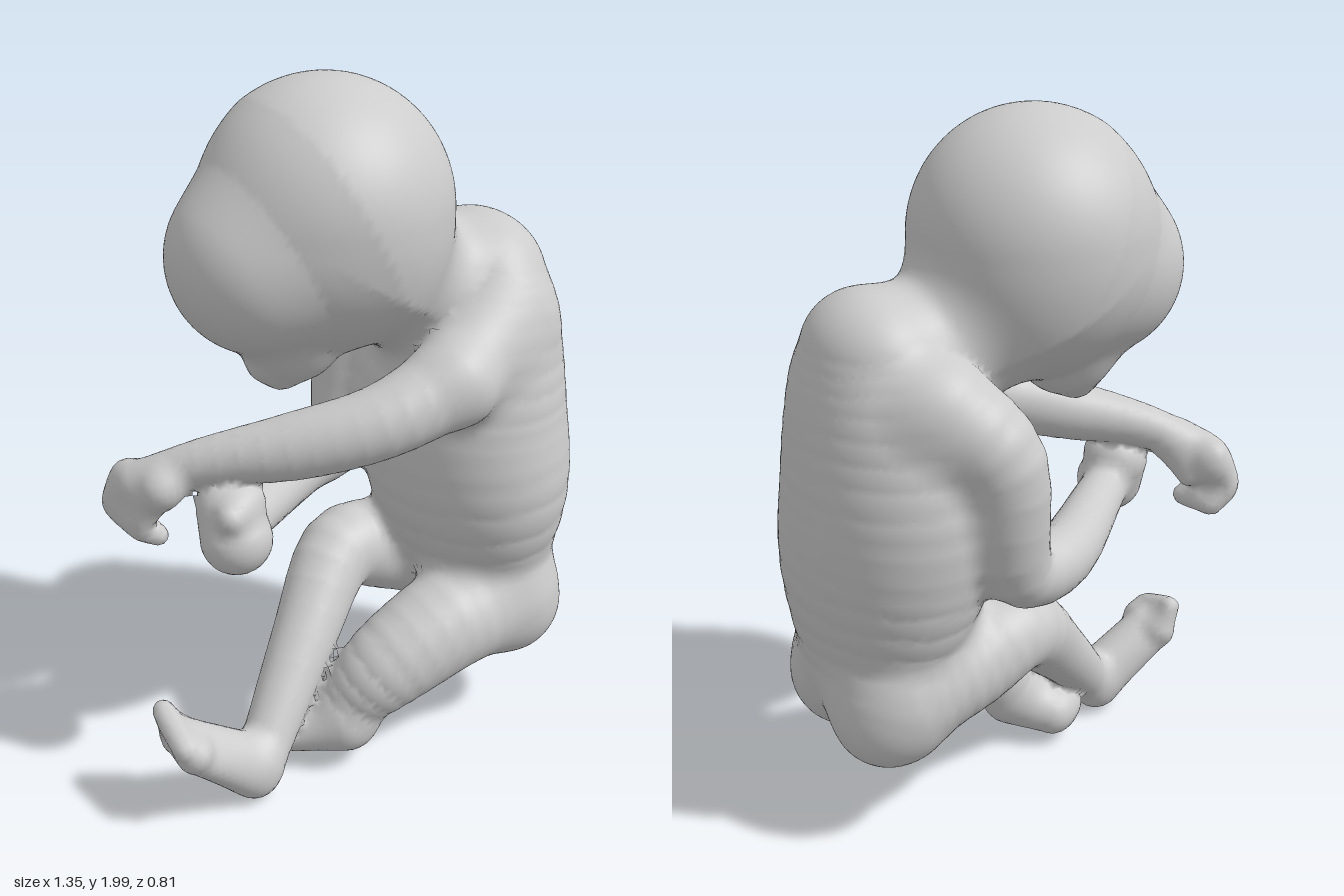
import * as THREE from 'three';

const smooth = points => new THREE.CatmullRomCurve3(points, false, 'catmullrom', 0.5);

// A limb is a ball swept along a smooth path while its radius follows the radii; stretch widens it in z.
function limb(radii, ...path) {
  const curve = smooth(path.map(p => new THREE.Vector3(...p)));
  const size = smooth(radii.map(r => new THREE.Vector3(r, 0, 0)));
  const count = path.length > 2 ? (path.length - 1) * 4 : 1;
  const balls = [];
  for (let i = 0; i <= count; i++) balls.push([...curve.getPoint(i / count).toArray(), size.getPoint(i / count).x]);
  return { balls, stretch: 1 };
}
const wide = (stretch, shape) => ({ ...shape, stretch });

// Spine, belly and buttocks
const torso = { name: 'torso', k: 0.08, limbs: [
  wide(1.27, limb([0.18, 0.24, 0.278, 0.272, 0.2],
    [0.425, 1.385, 0.03], [0.405, 1.22, 0.03], [0.39, 1, 0.03], [0.4, 0.78, 0.05], [0.43, 0.52, 0.055])),
  ...[0.2, -0.07].map(z => limb([0.16, 0.16], [0.46, 0.39, z], [0.45, 0.42, z])),
] };

// Skull, forehead, jaw, neck and nose
const head = { name: 'head', k: 0.06, limbs: [
  limb([0.335, 0.335], [-0.05, 1.62, 0.01], [-0.05, 1.66, 0.01]),
  limb([0.33, 0.255], [-0.08, 1.62, 0.01], [-0.24, 1.545, 0.01]),
  limb([0.3, 0.145], [-0.05, 1.5, 0.01], [-0.16, 1.33, 0.01]),
  limb([0.21, 0.2], [0.06, 1.5, 0.01], [0.33, 1.32, 0.02]),
  limb([0.025, 0.035], [-0.25, 1.235, 0.01], [-0.2, 1.205, 0.01]),
] };

// Arm reaching across the body, with a palm, thumb and four curled fingers
const leftArm = { name: 'leftArm', k: 0.04, limbs: [
  limb([0.16, 0.118], [0.4, 1.29, 0.16], [0.18, 1.2, 0.285]),
  limb([0.118, 0.1, 0.09, 0.065, 0.055],
    [0.18, 1.2, 0.285], [-0.04, 1.13, 0.27], [-0.25, 1.07, 0.17], [-0.45, 1.02, 0.04], [-0.59, 0.95, -0.07]),
  limb([0.06, 0.055], [-0.56, 0.96, 0.01], [-0.59, 0.92, -0.11]),
  limb([0.045, 0.03], [-0.52, 0.96, -0.03], [-0.54, 0.88, -0.08]),
] };
for (let i = 0; i < 4; i++) {
  const x = i * 0.008, z = i * 0.04;
  leftArm.limbs.push(limb([0.036, 0.026],
    [x - 0.6, 0.95 - x, z - 0.13], [x - 0.63, 0.86 - x, z - 0.155], [x - 0.585, 0.797, z - 0.145]));
}

// Bent arm, with a fist and thumb
const rightArm = { name: 'rightArm', k: 0.04, limbs: [
  limb([0.145, 0.122, 0.1, 0.09, 0.07],
    [0.34, 1.28, -0.19], [0.22, 1.14, -0.28], [0.16, 0.83, -0.255], [-0.03, 0.79, -0.19], [-0.33, 0.83, 0.06]),
  limb([0.088, 0.098], [-0.41, 0.9, 0.1], [-0.41, 0.825, 0.14]),
  limb([0.04, 0.035], [-0.37, 0.93, 0.14], [-0.45, 0.92, 0.19]),
] };

// Leg with the foot turned inward
const leftLeg = { name: 'leftLeg', k: 0.05, limbs: [
  limb([0.165, 0.15, 0.13, 0.09], [0.42, 0.41, 0.2], [0.23, 0.4, 0.23], [0.03, 0.31, 0.22], [-0.09, 0.19, 0.18]),
  limb([0.085, 0.07], [-0.08, 0.14, 0.18], [-0.18, 0.1, 0.09]),
  limb([0.075, 0.06], [-0.11, 0.14, 0.2], [-0.235, 0.11, 0.12]),
] };

// Leg crossing over, with an instep, both edges of the sole and five toes
const rightLeg = { name: 'rightLeg', k: 0.04, limbs: [
  limb([0.165, 0.14, 0.118, 0.095, 0.07],
    [0.42, 0.44, -0.08], [0.23, 0.49, -0.1], [0.04, 0.53, -0.08], [-0.15, 0.36, 0.04], [-0.38, 0.11, 0.185]),
  limb([0.075, 0.05], [-0.41, 0.12, 0.19], [-0.58, 0.26, 0.18]),
  ...[-1, 1].map(side => limb([0.06, 0.045], [-0.41, 0.075, 0.19 + side * 0.012], [-0.605, 0.235, 0.18 + side * 0.047])),
] };
for (let i = 0; i < 5; i++) {
  const z = 0.11 + i * 0.035;
  rightLeg.limbs.push(limb([0.034, 0.027], [-0.61, 0.26, z], [-0.64, 0.335 - i * 0.012, z]));
}

const PARTS = [torso, head, leftArm, rightArm, leftLeg, rightLeg];

// Smooth union of two distances
function blend(a, b, k) {
  const h = Math.max(k - Math.abs(a - b), 0) / k;
  return Math.min(a, b) - h * h * k / 4;
}

// Distance to one tapered link between two balls
function link(x, y, z, a, b) {
  const bx = b[0] - a[0], by = b[1] - a[1], bz = b[2] - a[2];
  const along = ((x - a[0]) * bx + (y - a[1]) * by + (z - a[2]) * bz) / (bx * bx + by * by + bz * bz);
  const t = Math.min(1, Math.max(0, along));
  const dx = x - a[0] - t * bx, dy = y - a[1] - t * by, dz = z - a[2] - t * bz;
  return Math.sqrt(dx * dx + dy * dy + dz * dz) - a[3] - t * (b[3] - a[3]);
}

function partDistance(part, x, y, z) {
  let d = 10;
  for (const { balls, stretch } of part.limbs) {
    const zs = balls[0][2] + (z - balls[0][2]) / stretch;
    let nearest = 10;
    for (let i = 1; i < balls.length; i++) nearest = Math.min(nearest, link(x, y, zs, balls[i - 1], balls[i]));
    d = blend(d, nearest, part.k);
  }
  return d;
}

// Head and limbs melt into the torso but not into each other
function skin(x, y, z) {
  const trunk = partDistance(torso, x, y, z);
  let d = trunk;
  for (let i = 1; i < PARTS.length; i++) d = Math.min(d, blend(trunk, partDistance(PARTS[i], x, y, z), 0.06));
  return d;
}

function gradient(x, y, z) {
  const e = 0.006;
  return new THREE.Vector3(
    skin(x + e, y, z) - skin(x - e, y, z),
    skin(x, y + e, z) - skin(x, y - e, z),
    skin(x, y, z + e) - skin(x, y, z - e)).divideScalar(2 * e);
}

// Walk a grid over the skin: one vertex per crossed cell, one quad per crossed grid edge
function buildSkin() {
  const h = 0.02, min = [-0.78, -0.08, -0.5], n = [78, 110, 50];
  const step = [1, n[0], n[0] * n[1]];
  const at = (i, j, k) => i + j * step[1] + k * step[2];
  const field = new Float32Array(n[0] * n[1] * n[2]).fill(1);
  const each = (lo, fn) => {
    for (let k = lo; k < n[2] - 1; k++) for (let j = lo; j < n[1] - 1; j++) for (let i = lo; i < n[0] - 1; i++) fn(i, j, k);
  };
  each(0, (i, j, k) => { field[at(i, j, k)] = skin(min[0] + i * h, min[1] + j * h, min[2] + k * h); });

  const positions = [], normals = [], owner = [], cell = new Map();
  each(0, (i, j, k) => {
    const base = at(i, j, k), sum = [0, 0, 0];
    let count = 0;
    for (let c = 0; c < 8; c++) for (let axis = 0; axis < 3; axis++) {
      if (c >> axis & 1) continue;
      const from = base + (c & 1) + (c >> 1 & 1) * step[1] + (c >> 2) * step[2];
      const a = field[from], b = field[from + step[axis]];
      if (a < 0 === b < 0) continue;
      for (let m = 0; m < 3; m++) sum[m] += (c >> m & 1) + (m === axis ? a / (a - b) : 0);
      count++;
    }
    if (!count) return;
    const p = new THREE.Vector3(...[i, j, k].map((v, m) => min[m] + (v + sum[m] / count) * h));
    const g = gradient(p.x, p.y, p.z);
    const shift = skin(p.x, p.y, p.z) / Math.max(0.3, g.lengthSq());
    p.addScaledVector(g, -THREE.MathUtils.clamp(shift, -h / 2, h / 2));
    g.normalize();
    const near = PARTS.map(part => partDistance(part, p.x, p.y, p.z));
    cell.set(base, owner.length);
    owner.push(near.indexOf(Math.min(...near)));
    positions.push(p.x, p.y, p.z);
    normals.push(g.x, g.y, g.z);
  });

  const faces = PARTS.map(() => []);
  each(1, (i, j, k) => {
    const base = at(i, j, k);
    for (let axis = 0; axis < 3; axis++) {
      const inside = field[base] < 0;
      if (inside === field[base + step[axis]] < 0) continue;
      const u = step[(axis + 1) % 3], v = step[(axis + 2) % 3];
      const q = [base - u - v, base - v, base, base - u].map(id => cell.get(id));
      if (!inside) q.reverse();
      faces[owner[q[0]]].push(q[0], q[1], q[2], q[0], q[2], q[3]);
    }
  });
  return { positions, normals, faces };
}

export function createModel() {
  const grey = new THREE.MeshStandardMaterial({ color: 0xcccccc });
  grey.name = 'plain grey';
  const { positions, normals, faces } = buildSkin();
  const model = new THREE.Group();
  model.name = 'seatedBaby';
  PARTS.forEach((part, i) => {
    const geometry = new THREE.BufferGeometry();
    geometry.setAttribute('position', new THREE.Float32BufferAttribute(positions, 3));
    geometry.setAttribute('normal', new THREE.Float32BufferAttribute(normals, 3));
    geometry.setIndex(faces[i]);
    const mesh = new THREE.Mesh(geometry.toNonIndexed(), grey);
    mesh.name = part.name;
    model.add(mesh);
  });
  return model;
}
